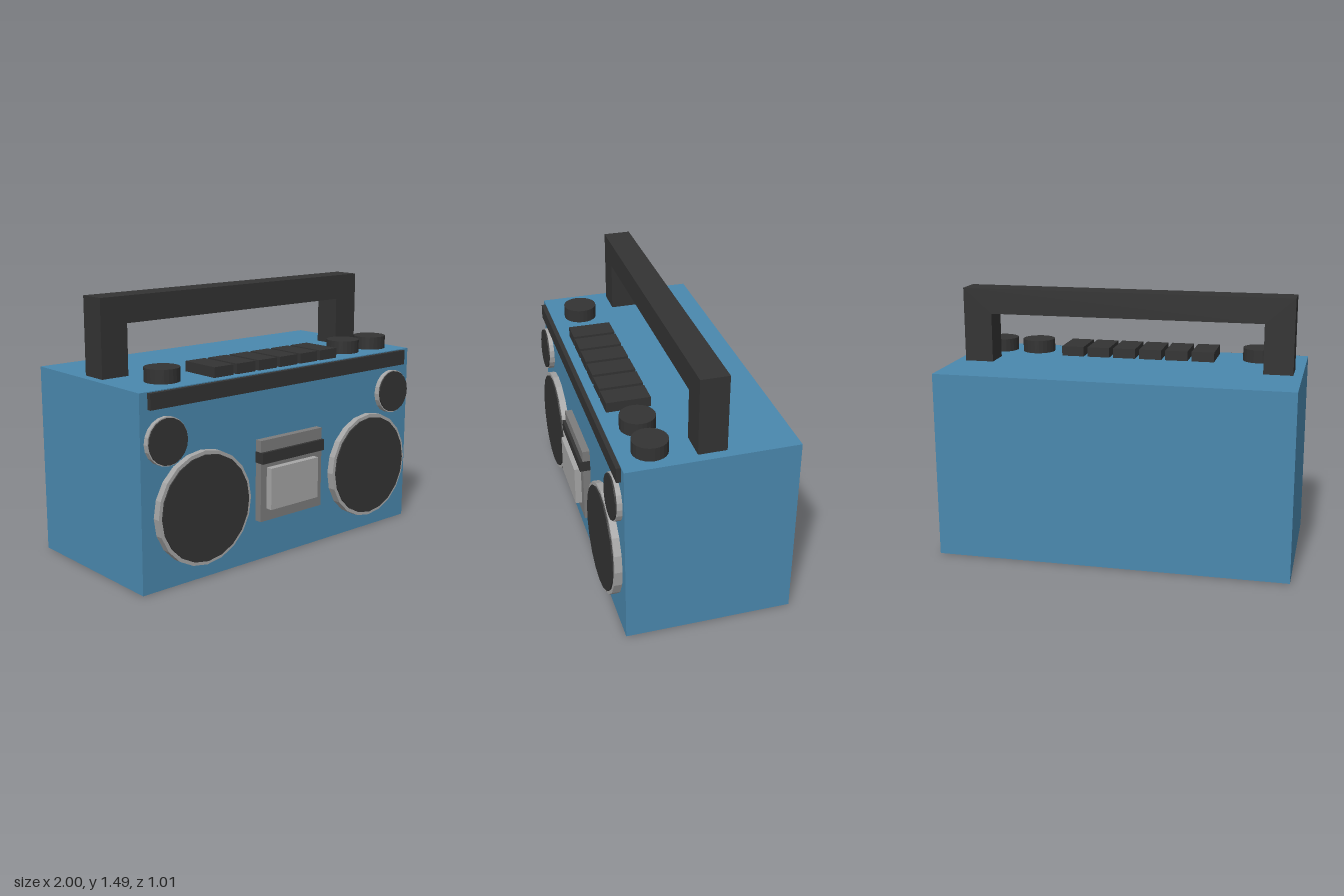
import * as THREE from 'three';

const mat = (color) => new THREE.MeshStandardMaterial({ color, flatShading: true });
const blue = mat(0x4a88ae), dark = mat(0x333333), grey = mat(0x7c7c7c), light = mat(0xa6a6a6);

export function createModel() {
  const model = new THREE.Group();

  const add = (name, geometry, material, parent = model) => {
    const mesh = new THREE.Mesh(geometry, material);
    mesh.name = name;
    parent.add(mesh);
    return mesh;
  };
  // Box given by its extents on each axis
  const box = (name, material, [x0, x1], [y0, y1], [z0, z1]) =>
    add(name, new THREE.BoxGeometry(x1 - x0, y1 - y0, z1 - z0), material)
      .position.set((x0 + x1) / 2, (y0 + y1) / 2, (z0 + z1) / 2);

  box('body', blue, [-1, 1], [0, 1.06], [-0.505, 0.425]);
  box('trimStrip', dark, [-0.95, 0.945], [0.97, 1.055], [0.42, 0.45]);

  // Carrying handle: an upside-down U
  const u = new THREE.Shape();
  [[-0.95, 1.06], [-0.785, 1.06], [-0.785, 1.34], [0.78, 1.34], [0.78, 1.06],
    [0.945, 1.06], [0.945, 1.485], [-0.95, 1.485]]
    .forEach(([x, y], i) => (i ? u.lineTo(x, y) : u.moveTo(x, y)));
  add('handle', new THREE.ExtrudeGeometry(u, { depth: 0.155, bevelEnabled: false }), dark)
    .position.z = -0.125;

  // Speakers: a rim with a grille standing slightly proud of it, leaning back a little
  const speaker = (name, x, y, rim, grille, front, tilt) => {
    const group = new THREE.Group();
    group.name = name;
    group.position.set(x, y, front);
    group.rotation.x = -tilt;
    const disc = (part, r, z0, z1, material) => {
      const g = new THREE.CylinderGeometry(r, r, z1 - z0, 20).rotateX(Math.PI / 2);
      add(part, g, material, group).position.z = (z0 + z1) / 2;
    };
    disc('rim', rim, -0.06, 0, light);
    disc('grille', grille, -0.03, 0.008, dark);
    model.add(group);
  };
  speaker('rightSpeaker', -0.615, 0.4, 0.31, 0.29, 0.468, 0.02);
  speaker('leftSpeaker', 0.635, 0.4, 0.31, 0.29, 0.468, 0.02);
  speaker('rightTweeter', -0.85, 0.797, 0.128, 0.122, 0.455, 0.04);
  speaker('leftTweeter', 0.842, 0.818, 0.128, 0.122, 0.455, 0.04);

  // Cassette deck
  box('cassettePanel', grey, [-0.233, 0.23], [0.235, 0.695], [0.42, 0.467]);
  box('cassetteBand', dark, [-0.235, 0.232], [0.567, 0.63], [0.42, 0.485]);
  box('cassetteWindow', light, [-0.19, 0.167], [0.305, 0.54], [0.45, 0.505]);

  // Row of keys
  for (let i = 0; i < 6; i++) {
    const x = -0.412 + i * 0.156;
    box('key', dark, [x - 0.066, x + 0.066], [1.05, 1.117], [0.127, 0.372]);
  }

  // Knobs
  for (const x of [-0.728, 0.613, 0.845])
    add('knob', new THREE.CylinderGeometry(0.096, 0.096, 0.085, 24), dark).position.set(x, 1.0925, 0.25);

  return model;
}
